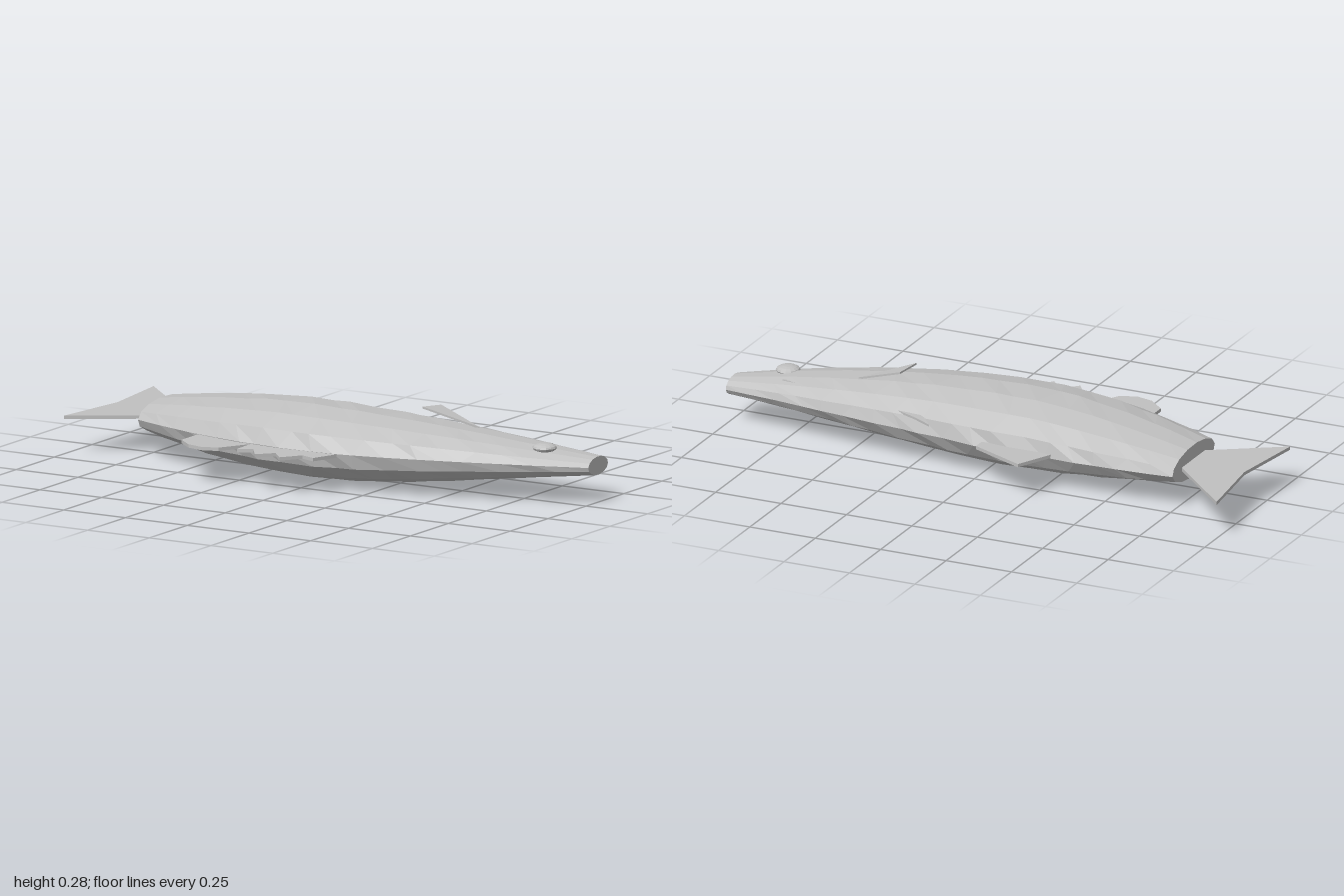
import * as THREE from 'three';

const grey = new THREE.MeshStandardMaterial({ color: 0xc0c0c0, flatShading: true });
grey.name = 'plain grey';

// Body outline: x, zMin, zMax, yMin, yMax
const STATIONS = [
  [-0.75, -0.235, 0.105, 0.075, 0.19],
  [-0.6, -0.245, 0.165, 0.05, 0.215],
  [-0.4, -0.25, 0.23, 0.025, 0.24],
  [-0.2, -0.245, 0.262, 0.006, 0.258],
  [0, -0.24, 0.27, 0.002, 0.258],
  [0.2, -0.22, 0.25, 0.012, 0.25],
  [0.4, -0.207, 0.212, 0.032, 0.236],
  [0.6, -0.19, 0.155, 0.056, 0.216],
  [0.8, -0.167, 0.083, 0.08, 0.192],
  [1, -0.145, -0.015, 0.1, 0.165],
];

function stationAt(x) {
  let k = 0;
  while (k < STATIONS.length - 2 && x > STATIONS[k + 1][0]) k++;
  const [a, b] = [STATIONS[k], STATIONS[k + 1]];
  const t = (x - a[0]) / (b[0] - a[0]);
  return a.map((v, i) => v + (b[i] - v) * t);
}

// Faceted loft with slightly uneven rings and flat ends
function bodyGeometry() {
  const sides = 14, rings = 18, pos = [], index = [];
  for (let s = 0; s <= rings; s++) {
    const end = s === 0 || s === rings;
    for (let i = 0; i < sides; i++) {
      const a = ((i + 0.15) / sides) * Math.PI * 2;
      const shift = end ? 0 : 0.022 * Math.sin(i * 2.4 + s * 1.7);
      const [x, z0, z1, y0, y1] = stationAt(-0.75 + (1.75 * s) / rings + shift);
      const r = end ? 1 : 1 + 0.012 * Math.sin(i * 4.1 + s * 2.9);
      pos.push(x, (y0 + y1) / 2 + ((y1 - y0) / 2) * r * Math.sin(a),
        (z0 + z1) / 2 + ((z1 - z0) / 2) * r * Math.cos(a));
    }
  }
  for (let s = 0; s < rings; s++) {
    for (let i = 0; i < sides; i++) {
      const a = s * sides + i, b = s * sides + ((i + 1) % sides);
      index.push(a, a + sides, b, b, a + sides, b + sides);
    }
  }
  const last = rings * sides;
  for (let i = 1; i < sides - 1; i++) {
    index.push(0, i, i + 1, last, last + i + 1, last + i);
  }
  const g = new THREE.BufferGeometry();
  g.setAttribute('position', new THREE.Float32BufferAttribute(pos, 3));
  g.setIndex(index);
  g.computeVertexNormals();
  return g;
}

// Flat plate from an (x, z) outline, its underside at height y
function plate(outline, y, depth = 0.012) {
  const shape = new THREE.Shape(outline.map(([x, z]) => new THREE.Vector2(x, -z)));
  return new THREE.ExtrudeGeometry(shape, { depth, bevelEnabled: false })
    .rotateX(-Math.PI / 2).translate(0, y, 0);
}

export function createModel() {
  const fish = new THREE.Group();
  fish.name = 'fish';
  const add = (name, geometry) => {
    const mesh = new THREE.Mesh(geometry, grey);
    mesh.name = name;
    fish.add(mesh);
    return mesh;
  };

  add('body', bodyGeometry());

  // Fins in the middle plane of the body
  add('tailFin', plate([[-1, -0.405], [-0.75, -0.16], [-0.72, -0.07], [-0.75, 0.025],
    [-1, 0.185], [-0.963, -0.105]], 0.126));
  add('dorsalFin', plate([[-0.29, -0.24], [-0.225, -0.373], [-0.02, -0.278],
    [-0.02, -0.22], [-0.28, -0.22]], 0.126));
  add('roundFin', plate([[-0.44, 0.19], [-0.44, 0.322], [-0.38, 0.375], [-0.32, 0.39],
    [-0.26, 0.37], [-0.2, 0.265], [-0.2, 0.22]], 0.126));
  add('spinyFin', plate([[-0.2, 0.24], [-0.195, 0.355], [-0.145, 0.33], [-0.095, 0.4],
    [-0.045, 0.345], [0.005, 0.4], [0.055, 0.33], [0.11, 0.35], [0.148, 0.25],
    [0.1, 0.23]], 0.126));
  add('smallBackFin', plate([[0.165, -0.265], [0.24, -0.222], [0.32, -0.187],
    [0.25, -0.18], [0.21, -0.21]], 0.173, 0.008));

  // Side fin rises toward the tail
  const side = plate([[0.365, -0.08], [0.345, 0.01], [0.535, -0.055]], 0.215, 0.007);
  const p = side.attributes.position;
  for (let i = 0; i < p.count; i++) p.setY(i, p.getY(i) + (0.535 - p.getX(i)) * 0.33);
  side.computeVertexNormals();
  add('sideFin', side);

  // Eye and the small slit beside it
  const eye = add('eye', new THREE.SphereGeometry(0.043, 14, 8));
  eye.scale.y = 0.38;
  eye.position.set(0.825, 0.189, -0.012);
  const slit = add('nostrilSlit', new THREE.BoxGeometry(0.065, 0.01, 0.008));
  slit.position.set(0.77, 0.181, -0.105);
  slit.rotation.y = -0.2;

  return fish;
}
